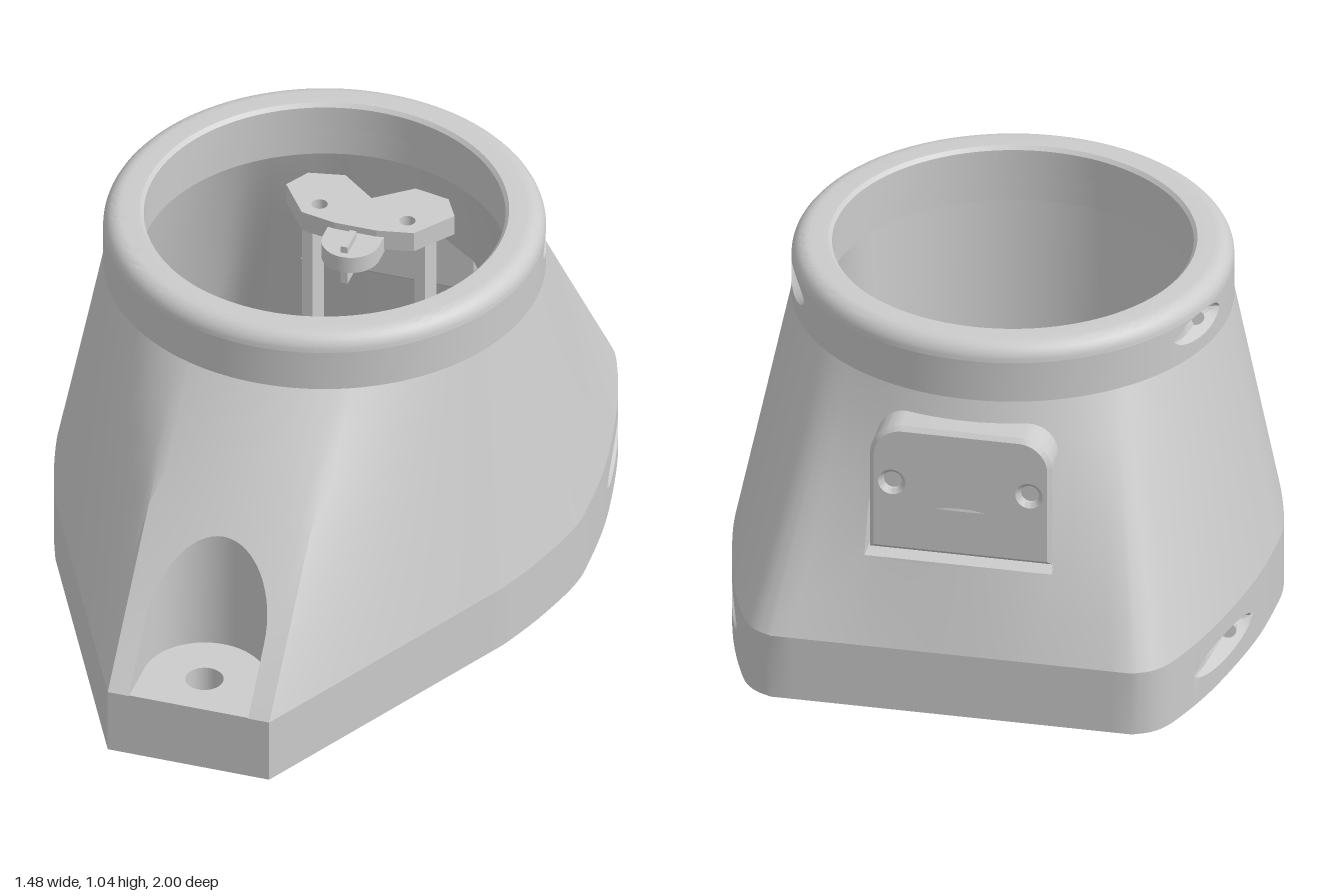
import * as THREE from 'three';
import { toCreasedNormals } from 'three/addons/utils/BufferGeometryUtils.js';

const mat = new THREE.MeshStandardMaterial({ color: 0xcccccc, side: THREE.DoubleSide });
const CZ = -0.19, R = 0.6, Y1 = 0.19, Y2 = 0.87; // collar centre, collar radius, plinth top, collar bottom
const PW = 0.26, TA = 0.338, TB = 0.56; // half width and height range of the rear pocket
const lerp = THREE.MathUtils.lerp;

export function createModel() {
  const group = new THREE.Group();
  const add = (name, geo, x = 0, y = 0, z = 0) => {
    const m = new THREE.Mesh(geo, mat);
    m.name = name;
    m.position.set(x, y, z);
    group.add(m);
    return m;
  };
  const box = (name, w, h, d, x, y, z) => add(name, new THREE.BoxGeometry(w, h, d), x, y, z);
  const disc = (name, r, h, x, y, z) => add(name, new THREE.CylinderGeometry(r, r, h, 32), x, y, z);
  const poly = (pts) => new THREE.Shape(pts.map((p) => new THREE.Vector2(p[0], p[1])));
  const mirrored = (half) => [...half, ...half.slice().reverse().map(([x, z]) => [-x, z])];
  const circle = (x, z, r) => new THREE.Path().absarc(x, z, r, 0, Math.PI * 2, true);
  // Horizontal slab from an (x, z) shape
  const slab = (name, shape, y0, y1) => {
    const g = new THREE.ExtrudeGeometry(shape, { depth: y1 - y0, bevelEnabled: false, curveSegments: 24 });
    g.rotateX(Math.PI / 2);
    return add(name, g, 0, y1, 0);
  };
  // Surface through rows of points, leaving out quads where skip(row, column) holds
  const skin = (name, rows, skip = () => false) => {
    const pos = [], a = new THREE.Vector3(), b = new THREE.Vector3();
    const tri = (p, q, s) => {
      a.subVectors(q, p);
      b.subVectors(s, p);
      if (a.cross(b).length() > 1e-8) for (const v of [p, q, s]) pos.push(v.x, v.y, v.z);
    };
    for (let r = 0; r < rows.length - 1; r++) {
      for (let c = 0; c < rows[r].length - 1; c++) {
        if (skip(r, c)) continue;
        tri(rows[r][c], rows[r][c + 1], rows[r + 1][c + 1]);
        tri(rows[r][c], rows[r + 1][c + 1], rows[r + 1][c]);
      }
    }
    const g = new THREE.BufferGeometry();
    g.setAttribute('position', new THREE.Float32BufferAttribute(pos, 3));
    return add(name, toCreasedNormals(g, 0.5));
  };

  // Columns around the body: plinth point (x, z), collar angle a, start z0 where the front slot cuts in
  const half = [];
  for (let i = 0; i <= 16; i++) {
    const f = (i / 16) * Math.PI / 2, x = 0.17 * Math.sin(f);
    half.push({ x, z: 1, a: Math.asin(x / R), z0: 0.86 - 0.17 * Math.cos(f) });
  }
  for (const x of [0.17, 0.2, 0.23]) half.push({ x, z: 1, a: Math.asin(x / R), z0: 1 });
  const aFront = Math.asin(0.23 / R), aSide = 1.15, aBack = 2.46;
  for (let i = 1; i <= 18; i++) {
    const k = i / 18;
    half.push({ x: lerp(0.23, 0.64, k), z: lerp(1, 0.2, k), a: lerp(aFront, aSide, k) });
  }
  const side = new THREE.SplineCurve([[0.64, 0.2], [0.69, 0.06], [0.735, -0.12], [0.738, -0.25], [0.72, -0.45],
    [0.665, -0.71], [0.6, -0.9], [0.555, -0.97], [0.5, -1]].map((p) => new THREE.Vector2(...p)));
  for (let i = 1; i <= 70; i++) {
    const p = side.getPointAt(i / 70);
    half.push({ x: p.x, z: p.y, a: lerp(aSide, aBack, i / 70) });
  }
  const aPocket = Math.PI - Math.asin(PW / R);
  for (let i = 1; i <= 4; i++) half.push({ x: lerp(0.5, PW, i / 4), z: -1, a: lerp(aBack, aPocket, i / 4) });
  for (let i = 1; i <= 8; i++) {
    const x = PW * (1 - i / 8);
    half.push({ x, z: -1, a: Math.PI - Math.asin(x / R) });
  }
  const cols = [...half, ...half.slice(0, -1).reverse().map((c) => ({ ...c, x: -c.x, a: -c.a }))];
  const V = (x, y, z) => new THREE.Vector3(x, y, z);
  const rim = (c, r = R) => ({ x: r * Math.sin(c.a), z: CZ + r * Math.cos(c.a) });
  const start = (c) => (c.z0 === undefined ? 0 : (1 - c.z0) / (1 - rim(c).z));
  const hull = (c, t) => V(lerp(c.x, rim(c).x, t), lerp(Y1, Y2, t), lerp(c.z, rim(c).z, t));

  // Vertical wall with a lens-shaped screw recess on each side, deepest towards the front
  const wall = (name, at, ya, yb, yc, h, zFrom, zTo, depth) => {
    const along = (z) => THREE.MathUtils.clamp((z - zFrom) / (zTo - zFrom), 0, 1);
    const lens = (z) => Math.sqrt(4 * along(z) * (1 - along(z)));
    const row = (fy, dent = 0) => cols.map((c) => {
      const p = at(c), k = lens(p.z), s = 1 - dent * k * (1.3 - along(p.z));
      return V(p.x * s, fy(k), CZ + (p.z - CZ) * s);
    });
    skin(name, [row(() => ya), row((k) => yc - h * k), row((k) => yc - h * 0.6 * k, depth * 0.8), row(() => yc, depth),
      row((k) => yc + h * 0.6 * k, depth * 0.8), row((k) => yc + h * k), row(() => yb)]);
  };
  wall('plinthWall', (c) => c, 0, Y1, 0.095, 0.04, -0.46, -0.81, 0.075);
  wall('collarWall', (c) => rim(c), Y2, 0.99, 0.95, 0.038, -0.29, -0.5, 0.08);
  for (const s of [-1, 1]) {
    for (const [x, y, z, turn] of [[0.67, 0.095, -0.54, 0.2], [0.54, 0.95, -0.35, 0.3]]) {
      disc('recessScrew', 0.022, 0.03, s * x, y, z).rotation.set(Math.PI / 2, 0, s * turn);
    }
  }

  // Sloping body; its first strip is the wall of the front slot, and the rear pocket is left open
  const ts = [0, 0.17, TA, TB, 0.7, 0.85, 1];
  const bodyRows = [cols.map((c) => hull(c, start(c)).setY(Y1)),
    ...ts.map((t) => cols.map((c) => hull(c, Math.max(t, start(c)))))];
  skin('body', bodyRows, (r, c) => r === 3 &&
    [cols[c], cols[c + 1]].every((k) => k.z === -1 && Math.abs(k.x) <= PW + 1e-6));

  // Inner lining: upright at the front, following the body at the sides and back
  skin('lining', [0.05, 0.3, 0.6, Y2].map((y) => cols.map((c) => {
    const t = (y - 0.05) / (Y2 - 0.05), p = rim(c, 0.5), q = rim(c, 0.48);
    const k = THREE.MathUtils.smoothstep(Math.abs(c.a), 1.1, 1.5);
    const x = lerp(q.x, c.x * 0.91, k), z = lerp(q.z, CZ + (c.z - CZ) * 0.92, k);
    return V(lerp(x, p.x, t), y, lerp(z, p.z, t));
  })).reverse());

  // Rounded collar top with a fine groove inside
  const prof = [];
  for (let i = 0; i <= 8; i++) {
    const f = (i / 8) * Math.PI / 2;
    prof.push([0.55 + 0.05 * Math.cos(f), 0.99 + 0.05 * Math.sin(f)]);
  }
  prof.push([0.5, 1.04], [0.49, 1.03], [0.49, 0.96], [0.5, 0.955], [0.5, Y2]);
  skin('collarTop', prof.map(([r, y]) => cols.map((c) => V(rim(c, r).x, y, rim(c, r).z))));

  // Floor plate with grille opening and bolt holes
  const floor = poly(cols.slice(0, -1).map((c) => [c.x * 0.997, c.z * 0.997]));
  const opening = [[0.37, 0.1], [0.56, -0.08], [0.64, -0.25], [0.62, -0.46], [0.55, -0.74], [0.42, -0.93]];
  floor.holes.push(poly(mirrored(opening)), circle(0, 0.19, 0.052), circle(0, 0.86, 0.052));
  slab('floorPlate', floor, 0, 0.05);
  const slot = new THREE.Shape().moveTo(0.17, 0.997).lineTo(0.17, 0.86);
  slot.absarc(0, 0.86, 0.17, 0, Math.PI, true).lineTo(-0.17, 0.997);
  slot.holes.push(circle(0, 0.86, 0.052));
  slab('slotFloor', slot, 0.05, Y1);

  // Grille: two crossed layers of slats clipped to the convex zones round the cable openings
  const clip = (pts, nx, nz, d) => {
    const out = [];
    pts.forEach((p, i) => {
      const q = pts[(i + 1) % pts.length];
      const dp = p[0] * nx + p[1] * nz - d, dq = q[0] * nx + q[1] * nz - d;
      if (dp <= 0) out.push(p);
      if (dp * dq < 0) out.push([lerp(p[0], q[0], dp / (dp - dq)), lerp(p[1], q[1], dp / (dp - dq))]);
    });
    return out;
  };
  const right = [[0.26, 0.1], ...opening, [0.17, -0.93], [0.17, -0.05]];
  const zones = [right, right.map(([x, z]) => [-x, z]),
    mirrored([[0.17, -0.05], [0.17, -0.5]]), mirrored([[0.17, -0.76], [0.17, -0.93]])];
  [-1, 1].forEach((s, layer) => {
    const nx = Math.cos(0.5), nz = s * Math.sin(0.5);
    for (let i = -9; i <= 9; i++) {
      for (const zone of zones) {
        const d = i * 0.115;
        const p = clip(clip(zone, nx, nz, d + 0.034), -nx, -nz, -d + 0.034);
        if (p.length > 2) slab('grilleSlat', poly(p), layer * 0.025, layer * 0.025 + 0.025);
      }
    }
  });
  box('openingEdge', 0.36, 0.05, 0.03, 0, 0.025, -0.05);

  // Rear cover with rounded top corners and screw holes, set in its pocket
  const cover = new THREE.Shape().moveTo(-0.24, 0.44).lineTo(0.24, 0.44).lineTo(0.24, 0.72);
  cover.absarc(0.16, 0.72, 0.08, 0, Math.PI / 2).absarc(-0.16, 0.72, 0.08, Math.PI / 2, Math.PI);
  for (const s of [-1, 1]) {
    cover.holes.push(circle(s * 0.19, 0.64, 0.038));
    disc('coverScrew', 0.03, 0.04, s * 0.19, 0.64, -0.84).rotation.x = Math.PI / 2;
  }
  const coverGeo = new THREE.ExtrudeGeometry(cover, { depth: 0.1, bevelSize: 0.012, bevelThickness: 0.012, bevelSegments: 1, curveSegments: 16 });
  add('rearCover', toCreasedNormals(coverGeo, 0.5), 0, 0, -0.868);
  const yA = lerp(Y1, Y2, TA), edge = hull(cols.find((c) => c.z === -1 && Math.abs(c.x - PW) < 1e-6), TA);
  const sill = -0.78 - edge.z;
  add('pocketSill', new THREE.PlaneGeometry(PW * 2, sill), 0, yA, -0.78 - sill / 2).rotation.x = -Math.PI / 2;
  const cheek = new THREE.ShapeGeometry(poly([[-edge.z, yA], [0.845, lerp(Y1, Y2, TB)], [0.8, yA]]));
  for (const s of [-1, 1]) add('pocketCheek', cheek, s * PW, 0, 0).rotation.y = Math.PI / 2;

  // Inner mount: tapered base, motor, horn and the raised bracket on two posts
  slab('mountBase', poly(mirrored([[0.16, -0.04], [0.185, -0.07], [0.27, -0.55], [0.2, -0.64]])), 0.06, 0.12);
  box('motor', 0.28, 0.2, 0.42, 0, 0.22, -0.28);
  disc('motorHorn', 0.12, 0.03, 0, 0.335, CZ);
  disc('hornHub', 0.03, 0.02, 0, 0.36, CZ);
  for (let i = 0; i < 4; i++) {
    const f = Math.PI / 4 + (i * Math.PI) / 2;
    disc('hornScrew', 0.014, 0.01, 0.085 * Math.cos(f), 0.355, CZ + 0.085 * Math.sin(f));
  }
  const bracket = poly(mirrored([[0.06, -0.46], [0.16, -0.48], [0.24, -0.59], [0.2, -0.66], [0.1, -0.68], [0, -0.6]]));
  for (const s of [-1, 1]) {
    bracket.holes.push(circle(s * 0.125, -0.53, 0.022));
    box('mountPost', 0.03, 0.64, 0.1, s * 0.16, 0.43, -0.58);
    box('mountRail', 0.03, 0.24, 0.46, s * 0.155, 0.22, -0.3);
  }
  slab('mountBracket', bracket, 0.74, 0.8);
  const clipShape = new THREE.Shape().moveTo(-0.08, -0.47).lineTo(0.08, -0.47).lineTo(0.08, -0.42);
  clipShape.absarc(0, -0.42, 0.08, 0, Math.PI);
  slab('bracketClip', clipShape, 0.73, 0.78);
  box('bracketTab', 0.02, 0.12, 0.08, 0, 0.74, -0.4);
  return group;
}
